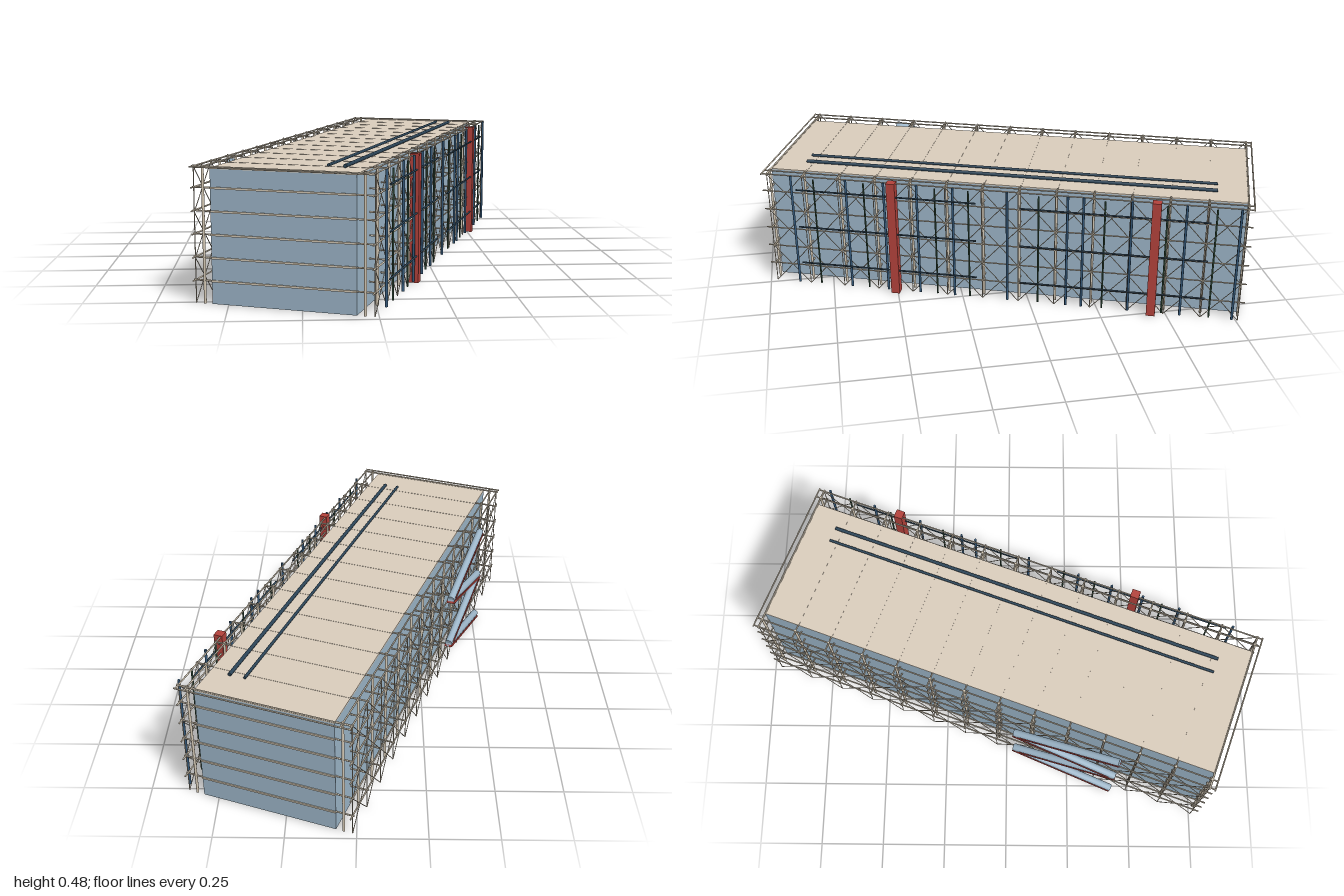
import * as THREE from 'three';

const mat = (color, extra = {}) => new THREE.MeshStandardMaterial({ color, ...extra });
const wallMat = mat(0x9db6c9), roofMat = mat(0xdccfbe), steel = mat(0xd6cab6);
const navy = mat(0x2c4558), blue = mat(0x35597a), green = mat(0x35523f), red = mat(0xb5433c);

const HALF_W = 0.257, HALF_L = 0.923, TOP = 0.468;
const BAYS = 13, FLOOR = 0.08, POST_X = 0.285, ROD_X = 0.318, END = 0.92;

function box(parent, name, material, size, pos) {
  const m = new THREE.Mesh(new THREE.BoxGeometry(...size), material);
  m.position.set(...pos);
  m.name = name;
  parent.add(m);
  return m;
}

// Straight round member between two points
function rod(parent, name, material, a, b, r, sides = 6) {
  const p = new THREE.Vector3(...a), q = new THREE.Vector3(...b);
  const d = q.clone().sub(p);
  const m = new THREE.Mesh(new THREE.CylinderGeometry(r, r, d.length(), sides), material);
  m.position.copy(p).add(q).multiplyScalar(0.5);
  m.quaternion.setFromUnitVectors(new THREE.Vector3(0, 1, 0), d.normalize());
  m.name = name;
  parent.add(m);
  return m;
}

function group(parent, name) {
  const g = new THREE.Group();
  g.name = name;
  parent.add(g);
  return g;
}

// Glazed walls, raised ground slab, roof and the floor bands of the end walls
function addHull(parent) {
  const g = group(parent, 'hull');
  const t = 0.004;
  for (const s of [-1, 1]) {
    box(g, 'longWall', wallMat, [t, TOP - 0.004, HALF_L * 2], [s * (HALF_W - t / 2), (TOP - 0.004) / 2, 0]);
    box(g, 'endWall', wallMat, [HALF_W * 2, TOP - 0.004, t], [0, (TOP - 0.004) / 2, s * (HALF_L - t / 2)]);
    for (let i = 1; i <= 5; i++)
      box(g, 'floorBand', steel, [HALF_W * 2, 0.007, 0.008], [0, i * FLOOR, s * HALF_L]);
  }
  box(g, 'groundSlab', roofMat, [HALF_W * 2 - 0.01, 0.006, HALF_L * 2 - 0.01], [0, FLOOR, 0]);
  box(g, 'roof', roofMat, [HALF_W * 2, 0.006, HALF_L * 2], [0, TOP - 0.003, 0]);
  for (let i = 0; i <= BAYS; i++)
    box(g, 'roofRib', roofMat, [HALF_W * 2, 0.002, 0.003], [0, TOP, -END + 2 * END * i / BAYS]);
}

// Exposed frame on one long side: posts, brackets, rails and cross bracing
function addFrame(parent, s) {
  const g = group(parent, s > 0 ? 'leftFrame' : 'rightFrame');
  const bay = 2 * END / BAYS;
  for (let i = 0; i <= BAYS; i++) {
    const z = -END + i * bay;
    rod(g, 'post', steel, [s * POST_X, 0, z], [s * POST_X, 0.477, z], 0.005, 8);
    rod(g, 'outerTie', steel, [s * ROD_X, 0, z], [s * ROD_X, 0.477, z], 0.0018);
    for (let k = 1; k <= 6; k++) {
      const y = k === 6 ? 0.471 : k * FLOOR;
      rod(g, 'bracket', steel, [s * HALF_W, y, z], [s * (ROD_X + 0.006), y, z], 0.0032);
    }
    if (i === BAYS) continue;
    for (let k = 0; k < 3; k++) {
      const y0 = k * 0.157, y1 = y0 + 0.157;
      rod(g, 'crossBrace', steel, [s * ROD_X, y0, z], [s * ROD_X, y1, z + bay], 0.0016, 5);
      rod(g, 'crossBrace', steel, [s * ROD_X, y1, z], [s * ROD_X, y0, z + bay], 0.0016, 5);
    }
  }
  for (let k = 1; k <= 6; k++) {
    const y = k === 6 ? 0.471 : k * FLOOR;
    rod(g, 'outerRail', steel, [s * ROD_X, y, -0.942], [s * ROD_X, y, 0.942], 0.003);
  }
  rod(g, 'topRail', steel, [s * POST_X, 0.471, -0.942], [s * POST_X, 0.471, 0.942], 0.003);
}

// Service risers, lift shafts and horizontal pipes on the left side
function addServices(parent) {
  const g = group(parent, 'services');
  const blueZ = [-0.897, -0.7, -0.5, -0.32, -0.26, -0.03, 0.18, 0.32, 0.45, 0.6, 0.82];
  const greenZ = [-0.81, -0.63, -0.4, -0.15, 0.12, 0.25, 0.53, 0.73];
  for (const z of blueZ) rod(g, 'blueRiser', blue, [0.328, 0.008, z], [0.328, 0.474, z], 0.005, 8);
  for (const z of greenZ) rod(g, 'greenRiser', green, [0.326, 0.008, z], [0.326, 0.465, z], 0.0035, 8);
  for (const z of [-0.59, 0.419])
    box(g, 'liftShaft', red, [0.034, 0.478, 0.034], [0.326, 0.239, z]);
  for (const [a, b, dy] of [[-0.79, -0.08, -0.007], [0.09, 0.8, 0]])
    for (const y of [0.1, 0.26, 0.42])
      rod(g, 'horizontalPipe', navy, [0.335, y + dy, a], [0.335, y + dy, b], 0.0035, 8);
}

// Zigzag escalator: glazed half tubes over red undersides
function addEscalator(parent) {
  const g = group(parent, 'escalator');
  const x = -0.336, near = 0.577, far = 0.154;
  const stops = [[0.025, near], [0.125, far], [0.232, near], [0.338, far], [0.442, near]];
  for (let i = 0; i < 4; i++) {
    const [y0, z0] = stops[i], [y1, z1] = stops[i + 1];
    const len = Math.hypot(y1 - y0, z1 - z0);
    const flight = group(g, 'flight');
    flight.position.set(x, (y0 + y1) / 2, (z0 + z1) / 2);
    flight.rotation.x = -Math.atan((y1 - y0) / (z1 - z0));
    const tube = new THREE.Mesh(
      new THREE.CylinderGeometry(0.015, 0.015, len, 12, 1, false), wallMat);
    tube.rotation.x = Math.PI / 2;
    tube.name = 'glassTube';
    flight.add(tube);
    box(flight, 'underside', red, [0.031, 0.009, len], [0, -0.012, 0]);
  }
}

export function createModel() {
  const model = new THREE.Group();
  model.name = 'building';
  const body = group(model, 'body');
  body.rotation.y = -0.347;

  addHull(body);
  for (const s of [-1, 1]) addFrame(body, s);
  addServices(body);
  addEscalator(body);

  // Top rails closing the frame across both ends
  for (const s of [-1, 1])
    for (const z of [0.922, 0.942])
      rod(body, 'endRail', steel, [-0.324, 0.471, s * z], [0.324, 0.471, s * z], 0.003);

  // Long ducts lying on the roof
  rod(body, 'roofDuct', navy, [0.121, 0.476, -0.808], [0.121, 0.476, 0.803], 0.0055, 8);
  rod(body, 'roofDuct', navy, [0.179, 0.475, -0.808], [0.179, 0.475, 0.803], 0.007, 8);
  return model;
}
